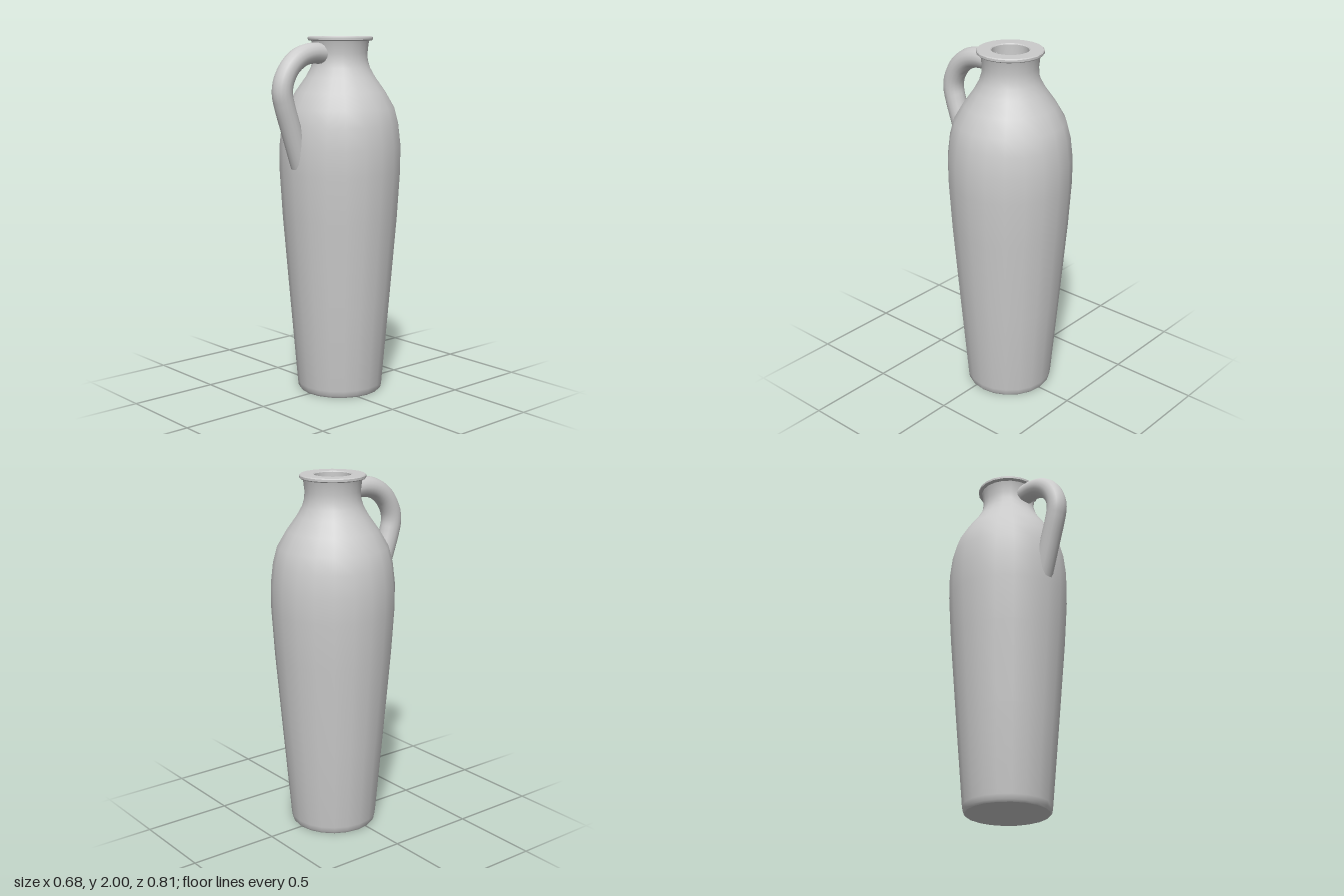
import * as THREE from 'three';
import { toCreasedNormals } from 'three/addons/utils/BufferGeometryUtils.js';

const material = new THREE.MeshStandardMaterial({ color: 0xcccccc });
const AXIS_Z = -0.062; // the vessel stands behind centre, balancing the handle
const SIDES = 20;

// Revolve a list of [radius, height] points, keeping sharp edges sharp
function revolve(name, profile) {
  const points = profile.map(([r, y]) => new THREE.Vector2(r, y));
  const geometry = toCreasedNormals(new THREE.LatheGeometry(points, SIDES), 0.7);
  const mesh = new THREE.Mesh(geometry, material);
  mesh.name = name;
  mesh.position.z = AXIS_Z;
  return mesh;
}

export function createModel() {
  const group = new THREE.Group();
  group.name = 'jug';

  // Base, tapered belly, shoulder and neck
  group.add(revolve('body', [
    [0, 0], [0.23, 0], [0.239, 0.012], [0.243, 0.04], [0.285, 0.53], [0.324, 1.0],
    [0.34, 1.26], [0.34, 1.4], [0.326, 1.52], [0.302, 1.61], [0.25, 1.7],
    [0.193, 1.78], [0.165, 1.83], [0.153, 1.87], [0.151, 1.91], [0.157, 1.96], [0.162, 1.98],
  ]));

  // Flat lip, mouth and rounded hollow
  group.add(revolve('rim', [
    [0.155, 1.976], [0.174, 1.978], [0.18, 1.983], [0.18, 1.995], [0.175, 2], [0.105, 2],
    [0.1, 1.995], [0.1, 1.82], [0.096, 1.78], [0.08, 1.74], [0.05, 1.71], [0, 1.7],
  ]));

  // Loop handle from neck to shoulder, both ends buried in the body
  const path = new THREE.CatmullRomCurve3([
    [1.905, 0.04], [1.911, 0.15], [1.89, 0.23], [1.835, 0.3], [1.76, 0.342],
    [1.7, 0.35], [1.64, 0.337], [1.5, 0.29], [1.323, 0.23], [1.22, 0.195],
  ].map(([y, z]) => new THREE.Vector3(0, y, z)));
  const handle = new THREE.Mesh(new THREE.TubeGeometry(path, 40, 0.057, 16), material);
  handle.name = 'handle';
  group.add(handle);

  return group;
}
